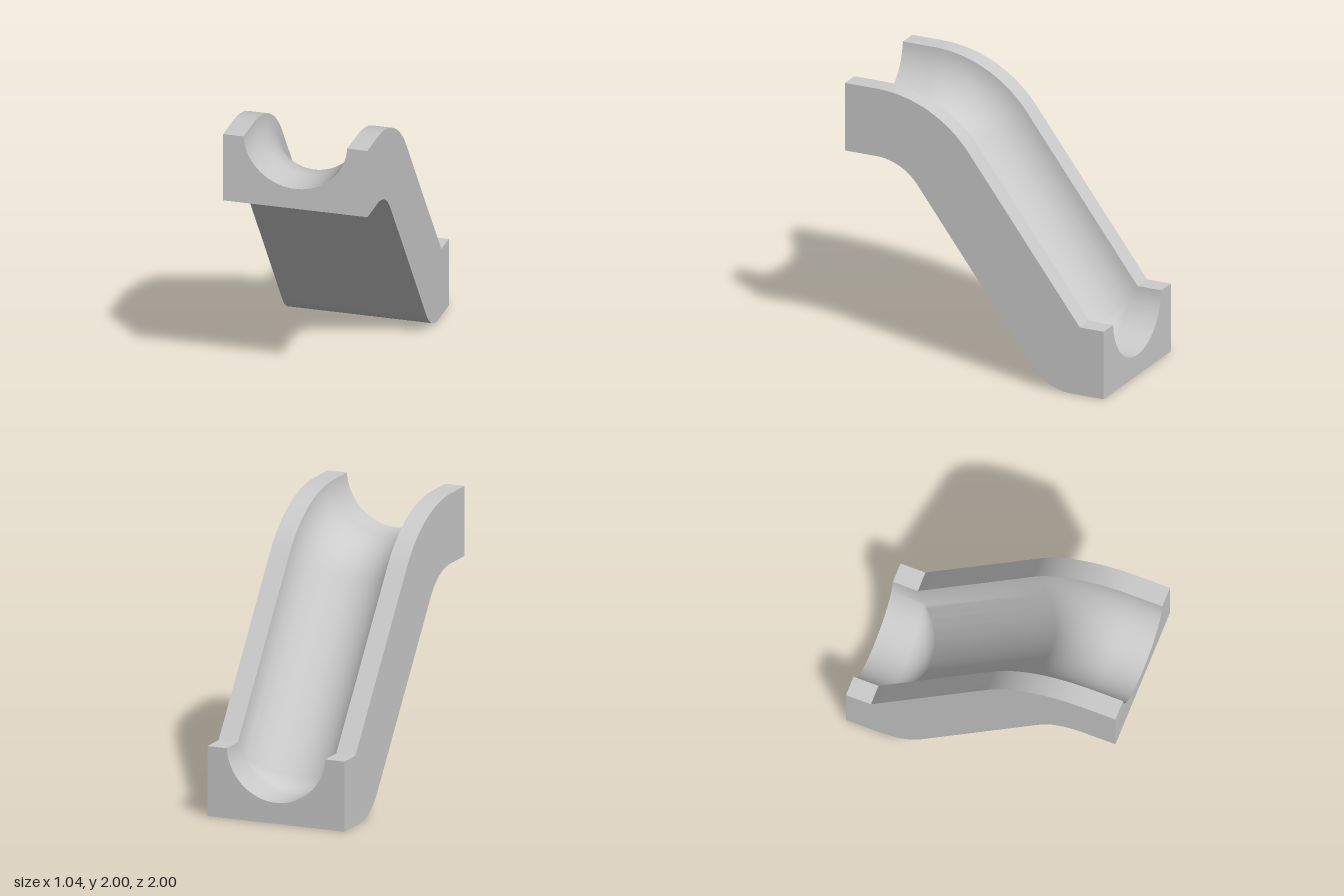
import * as THREE from 'three';
import { toCreasedNormals } from 'three/addons/utils/BufferGeometryUtils.js';

const HALF_W = 0.52, THICK = 0.5;            // slab cross-section
const GROOVE_R = 0.375, GROOVE_Y = 0.525;    // round channel
const SLOPE = Math.atan2(4, 3);
const TOP_BEND = { z: 0.76, y: 1.1, r: 0.4 };
const LOW_BEND = { z: -0.75, r: 0.37 };

// Cross-section, counter-clockwise: x across, y = height above the underside
function crossSection() {
  const pts = [[-HALF_W, 0], [HALF_W, 0], [HALF_W, THICK]];
  const start = Math.asin((GROOVE_Y - THICK) / GROOVE_R), n = 48;
  for (let i = 0; i <= n; i++) {
    const a = -start - (Math.PI - 2 * start) * i / n;
    pts.push([GROOVE_R * Math.cos(a), GROOVE_Y + GROOVE_R * Math.sin(a)]);
  }
  pts.push([-HALF_W, THICK]);
  return pts;
}

// Side path [z, y] followed at height e above the underside
function rail(e) {
  const path = [[1, 1.5 + e]], n = 24;
  for (let i = 0; i <= n; i++) {
    const a = SLOPE * i / n, r = TOP_BEND.r + e;
    path.push([TOP_BEND.z - r * Math.sin(a), TOP_BEND.y + r * Math.cos(a)]);
  }
  const r = LOW_BEND.r - e;
  for (let i = 0; i <= n; i++) {
    const a = SLOPE * (1 - i / n);
    // Above the bend centre the curve collapses into a sharp corner
    path.push(r > 0
      ? [LOW_BEND.z + r * Math.sin(a), LOW_BEND.r - r * Math.cos(a)]
      : [LOW_BEND.z + r * Math.tan(SLOPE / 2), e]);
  }
  path.push([-1, e]);
  return path;
}

// Skin between neighbouring rails
function sweep(section) {
  const rails = section.map(([x, e]) => rail(e).map(([z, y]) => new THREE.Vector3(x, y, z)));
  const pos = [];
  const tri = (a, b, c) => {
    if (new THREE.Triangle(a, b, c).getArea() < 1e-9) return;
    for (const p of [a, b, c]) pos.push(p.x, p.y, p.z);
  };
  rails.forEach((left, j) => {
    const right = rails[(j + 1) % rails.length];
    for (let i = 0; i < left.length - 1; i++) {
      tri(left[i], left[i + 1], right[i]);
      tri(left[i + 1], right[i + 1], right[i]);
    }
  });
  const geo = new THREE.BufferGeometry();
  geo.setAttribute('position', new THREE.Float32BufferAttribute(pos, 3));
  return toCreasedNormals(geo, Math.PI / 6);
}

export function createModel() {
  const group = new THREE.Group();
  group.name = 'slide';
  const material = new THREE.MeshStandardMaterial({ color: 0xcccccc });
  const add = (name, geo) => {
    const mesh = new THREE.Mesh(geo, material);
    mesh.name = name;
    group.add(mesh);
    return mesh;
  };

  const section = crossSection();
  add('chute', sweep(section));

  // Flat ends
  const shape = new THREE.Shape(section.map(([x, y]) => new THREE.Vector2(x, y)));
  add('upperEnd', new THREE.ShapeGeometry(shape)).position.set(0, 1.5, 1);
  const lower = add('lowerEnd', new THREE.ShapeGeometry(shape));
  lower.position.z = -1;
  lower.rotation.y = Math.PI;

  return group;
}
